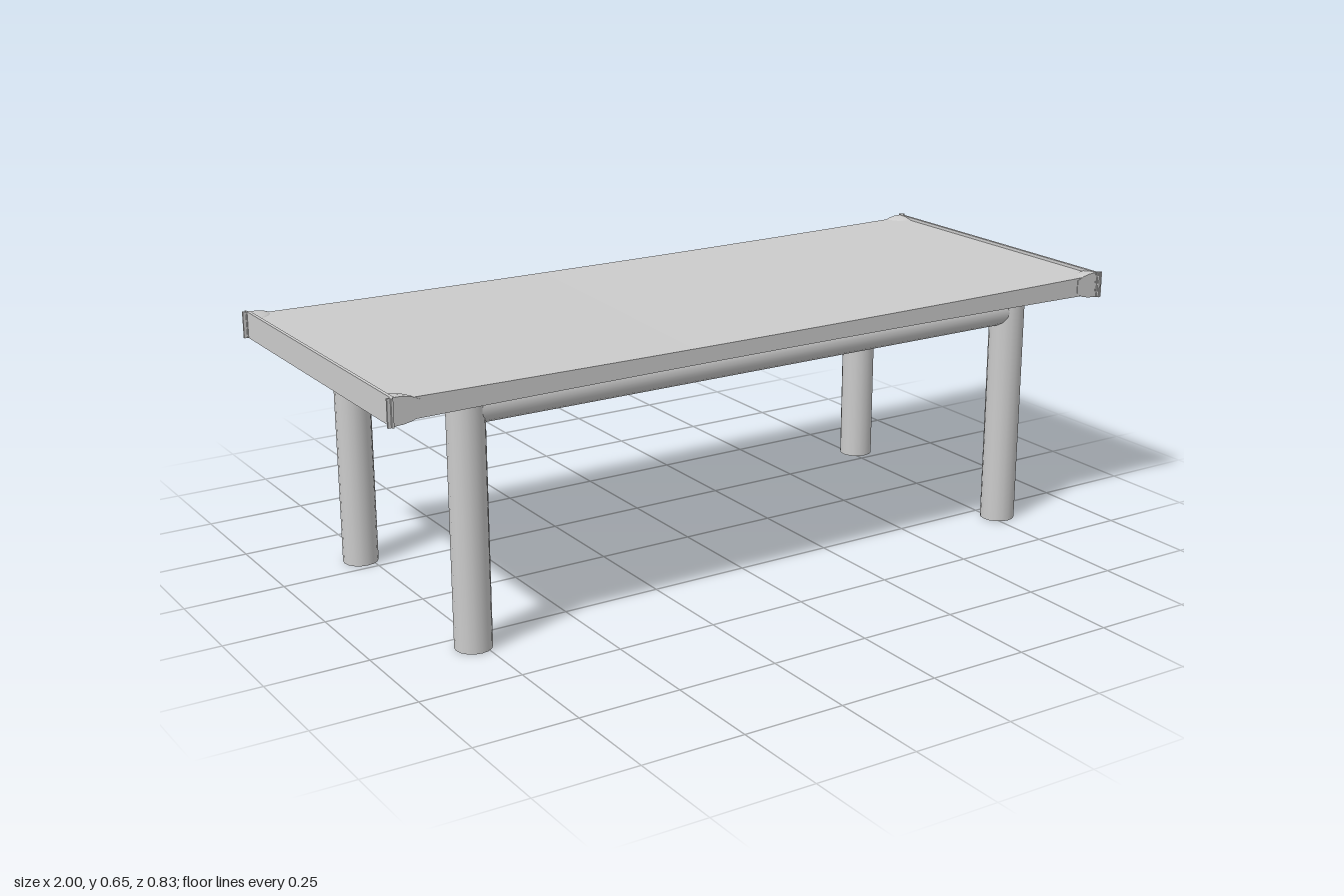
import * as THREE from 'three';

export function createModel() {
  const table = new THREE.Group();
  const material = new THREE.MeshStandardMaterial({ color: 0xcccccc });
  const add = (name, geometry, x = 0, y = 0, z = 0) => {
    const mesh = new THREE.Mesh(geometry, material);
    mesh.name = name;
    mesh.position.set(x, y, z);
    table.add(mesh);
    return mesh;
  };
  const midY = 0.62;

  // Slab, thickening slightly towards both ends
  const slab = new THREE.BoxGeometry(1.97, 0.038, 0.806, 12, 1, 1);
  const p = slab.attributes.position;
  for (let i = 0; i < p.count; i++) {
    const x = p.getX(i);
    p.setY(i, p.getY(i) + Math.sign(p.getY(i)) * 0.006 * x * x);
  }
  slab.computeVertexNormals();
  add('tableTop', slab, 0, midY, 0);

  // Corner mound: a quarter disc swelling above and below the slab
  const profile = [[0, -0.032], [0.025, -0.031], [0.045, -0.027], [0.065, -0.018],
    [0.065, 0.018], [0.045, 0.027], [0.025, 0.031], [0, 0.032]]
    .map(([r, y]) => new THREE.Vector2(r, y));

  for (const sx of [-1, 1]) {
    // Thin lip across each end
    add('endLip', new THREE.BoxGeometry(0.008, 0.065, 0.81), sx * 0.986, midY, 0);

    for (const sz of [-1, 1]) {
      // Quarter turn opening towards the middle of the table
      const start = sx > 0 ? (sz > 0 ? Math.PI : Math.PI * 1.5) : (sz > 0 ? Math.PI / 2 : 0);
      const mound = new THREE.LatheGeometry(profile, 8, start, Math.PI / 2);
      add('cornerMound', mound, sx * 0.987, midY, sz * 0.403);

      // Flat outer faces of the mound
      const outline = new THREE.Shape(profile.map((v) => new THREE.Vector2(-sx * v.x, v.y)));
      const side = new THREE.ExtrudeGeometry(outline, { depth: 0.003, bevelEnabled: false });
      add('cornerSide', side, sx * 0.987, midY, sz * 0.403 - 0.0015);

      // Small pinched tab at the very corner
      add('cornerTabX', new THREE.BoxGeometry(0.014, 0.065, 0.005), sx * 0.993, midY, sz * 0.406);
      add('cornerTabZ', new THREE.BoxGeometry(0.005, 0.065, 0.012), sx * 0.99, midY, sz * 0.407);

      // Round leg
      add('leg', new THREE.CylinderGeometry(0.044, 0.044, 0.605, 16), sx * 0.772, 0.3025, sz * 0.309);
    }
  }

  // Round rails joining the legs along the length
  for (const sz of [-1, 1]) {
    const rail = add('rail', new THREE.CylinderGeometry(0.037, 0.037, 1.5, 16), 0, 0.565, sz * 0.309);
    rail.rotation.z = Math.PI / 2;
  }
  return table;
}
